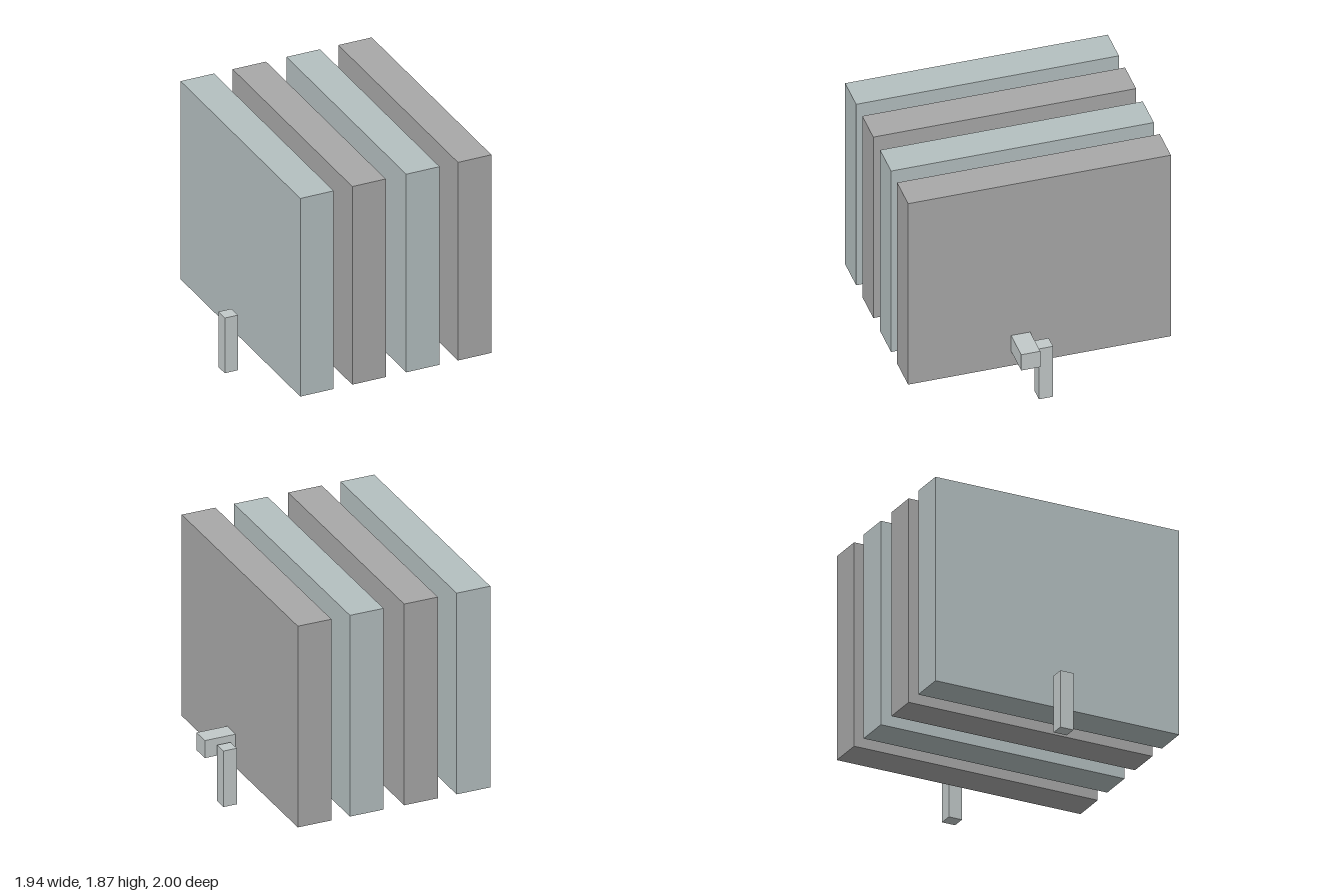
import * as THREE from 'three';

const blueGrey = new THREE.MeshStandardMaterial({ color: 0xb4bfc0 });
const midGrey = new THREE.MeshStandardMaterial({ color: 0xa8a8a8 });
const paleGrey = new THREE.MeshStandardMaterial({ color: 0xc2c9c9 });

// Box given by its lower and upper corners
function block(name, [x0, y0, z0], [x1, y1, z1], material) {
  const mesh = new THREE.Mesh(new THREE.BoxGeometry(x1 - x0, y1 - y0, z1 - z0), material);
  mesh.position.set((x0 + x1) / 2, (y0 + y1) / 2, (z0 + z1) / 2);
  mesh.name = name;
  return mesh;
}

export function createModel() {
  const model = new THREE.Group();
  model.name = 'plateStack';

  // Four upright slabs in alternating greys
  [-0.82, -0.4, 0.035, 0.453].forEach((x, i) => {
    model.add(block(`slab${i + 1}`, [x, 0.23, -1], [x + 0.27, 1.865, 1], i % 2 ? midGrey : blueGrey));
  });

  // Short post beside each outer slab
  model.add(block('rightPost', [-0.972, 0, -0.055], [-0.867, 0.455, 0.053], paleGrey));
  model.add(block('leftPost', [0.772, 0, -0.055], [0.879, 0.455, 0.053], paleGrey));

  // Stub arm standing out from the last slab
  model.add(block('sideArm', [0.723, 0.36, 0.071], [0.97, 0.502, 0.216], paleGrey));

  return model;
}
